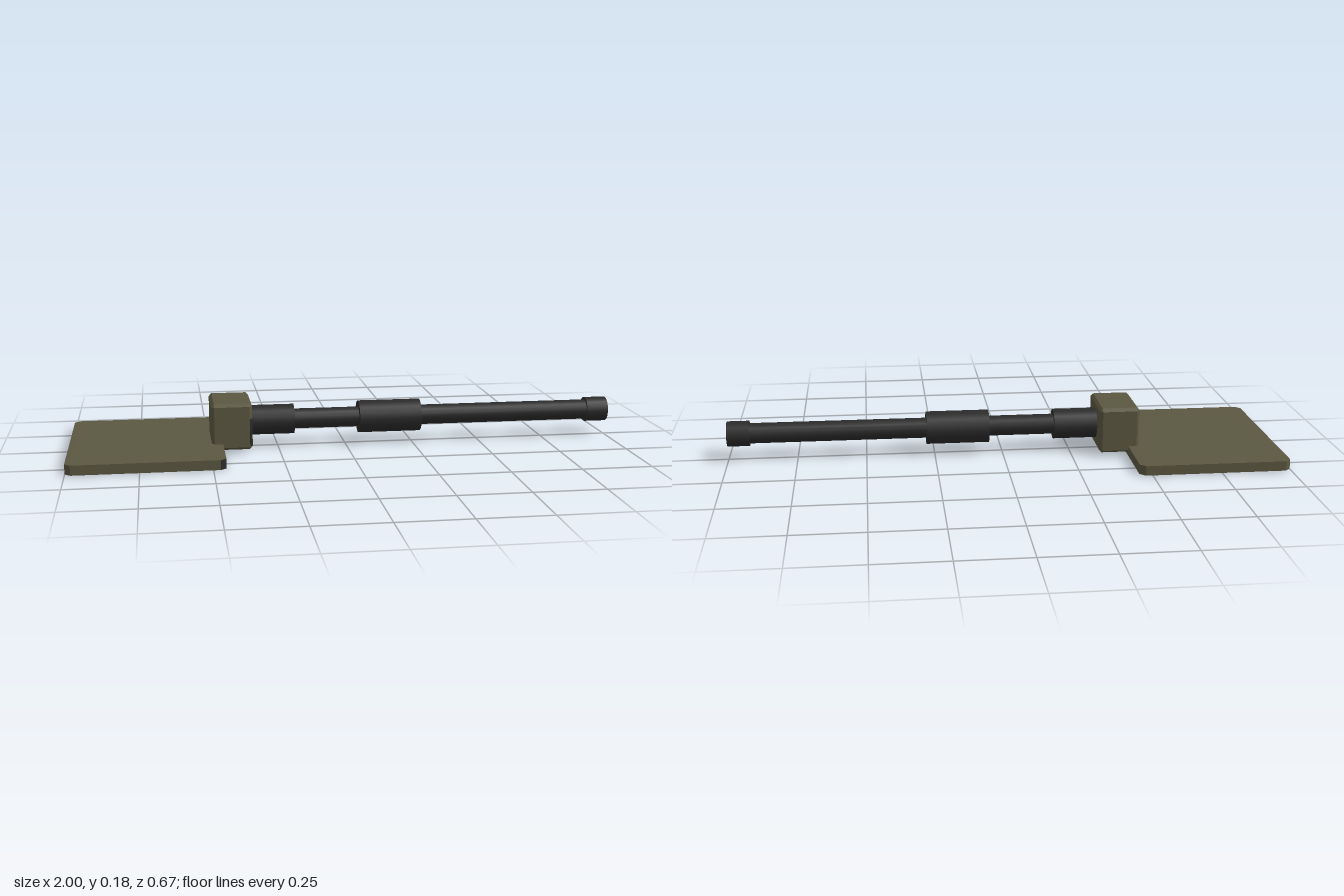
import * as THREE from 'three';
import { ConvexGeometry } from 'three/addons/geometries/ConvexGeometry.js';

// Box with every edge cut: bx, by, bz are the cut sizes along each axis
function chamferBox(w, h, d, bx, by, bz) {
  const pts = [];
  for (const sx of [-1, 1]) for (const sy of [-1, 1]) for (const sz of [-1, 1]) {
    const x = w / 2, y = h / 2, z = d / 2;
    pts.push(
      new THREE.Vector3(sx * x, sy * (y - by), sz * (z - bz)),
      new THREE.Vector3(sx * (x - bx), sy * y, sz * (z - bz)),
      new THREE.Vector3(sx * (x - bx), sy * (y - by), sz * z)
    );
  }
  return new ConvexGeometry(pts);
}

export function createModel() {
  const group = new THREE.Group();
  const olive = new THREE.MeshStandardMaterial({ color: 0x5b5741 });
  olive.name = 'olive';
  const black = new THREE.MeshStandardMaterial({ color: 0x2a2a2b });
  black.name = 'black';

  function add(name, geometry, material, x, y, z) {
    const mesh = new THREE.Mesh(geometry, material);
    mesh.name = name;
    mesh.position.set(x, y, z);
    group.add(mesh);
    return mesh;
  }

  // Flat base plate and the bevelled mounting block on its edge
  add('basePlate', chamferBox(0.545, 0.037, 0.67, 0.02, 0.001, 0.02), olive, -0.7275, 0.0185, 0);
  add('mountBlock', chamferBox(0.146, 0.168, 0.23, 0.01, 0.01, 0.015), olive, -0.422, 0.096, 0);

  // Dark facings on the front left corners
  const plateCorner = add('plateCornerFacing', new THREE.BoxGeometry(0.027, 0.034, 0.002), black, -0.465, 0.0185, 0.325);
  plateCorner.rotation.y = Math.PI / 4;
  const blockCorner = add('blockCornerFacing', new THREE.BoxGeometry(0.017, 0.1, 0.002), black, -0.354, 0.075, 0.1075);
  blockCorner.rotation.y = Math.atan2(0.015, 0.01);

  // Barrel running along x: [name, start, end, radius]
  const tubes = [
    ['rearCollar', -0.355, -0.19, 0.055],
    ['barrel', -0.2, 0.93, 0.037],
    ['middleSleeve', 0.05, 0.28, 0.06],
    ['muzzleCap', 0.92, 1, 0.046],
  ];
  for (const [name, x0, x1, r] of tubes) {
    const tube = add(name, new THREE.CylinderGeometry(r, r, x1 - x0, 16), black, (x0 + x1) / 2, 0.097, 0);
    tube.rotation.z = -Math.PI / 2;
  }
  return group;
}
